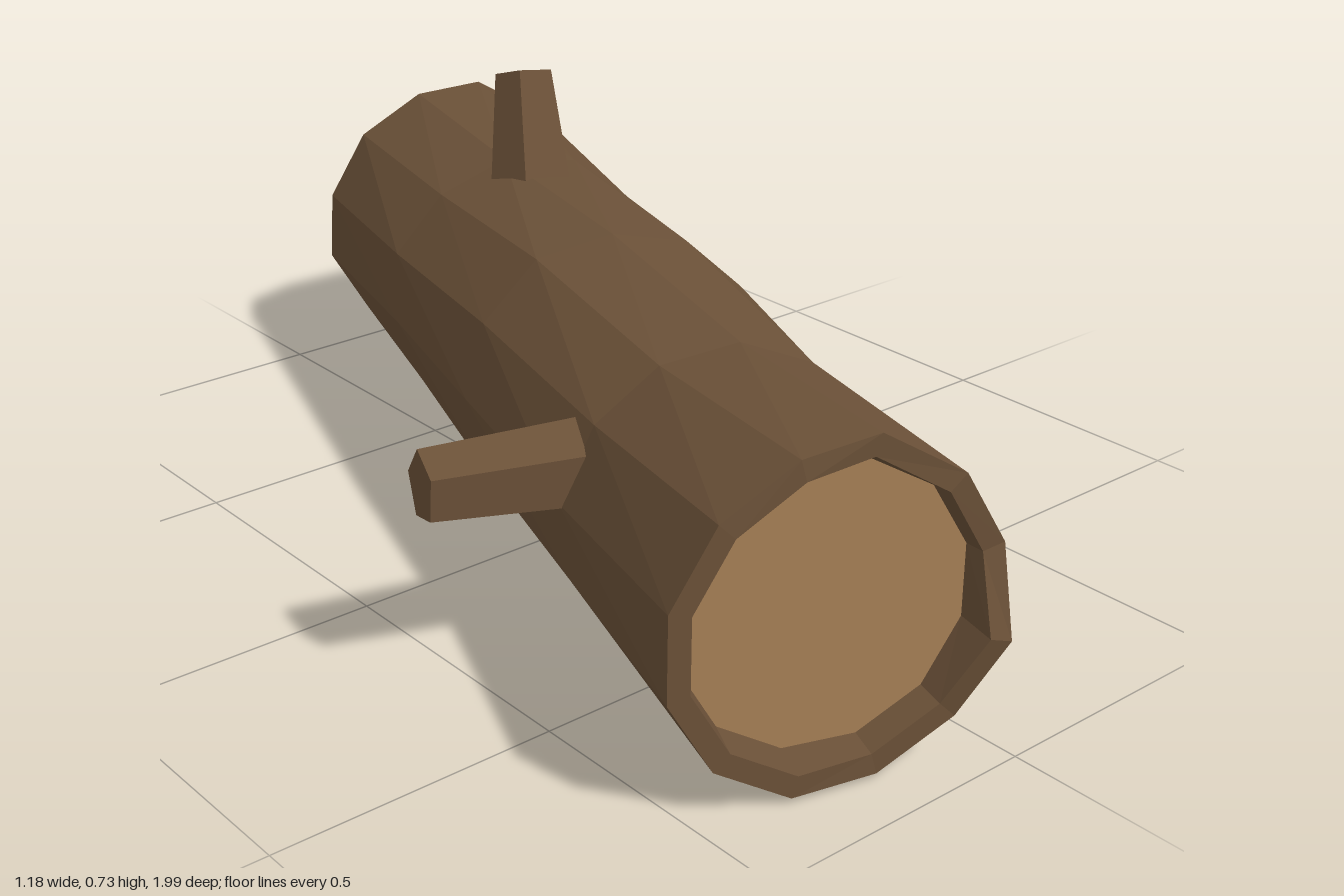
import * as THREE from 'three';

const SIDES = 12;
const U = new THREE.Vector3(0.945, 0, 0.327);  // across the log
const W = new THREE.Vector3(0.327, 0, -0.945); // along the log, towards the back
const START = new THREE.Vector3(-0.28, 0, 0.9);
const LENGTH = 1.9;

const bark = new THREE.MeshStandardMaterial({ color: 0x6b5138, flatShading: true });
const wood = new THREE.MeshStandardMaterial({ color: 0xa67f56, flatShading: true });

// Uneven cut at both ends: shift along the log for each side
const frontCut = [0.03, 0.025, 0.05, 0.01, 0, 0, 0, 0, 0, 0.015, 0.015, -0.01];
const backCut = [-0.03, 0.01, 0.035, -0.01, -0.02, -0.02, 0.01, 0, -0.01, 0, 0, -0.02];

// Rings from the front recess, over the rim, along the bark, to the back recess
const rings = [
  { d: 0.065, r: 0.235, y: 0.281, twist: 0 },
  { d: 0, r: 0.243, y: 0.281, twist: 0, cut: frontCut },
  { d: 0, r: 0.28, y: 0.281, twist: 0, cut: frontCut },
  { d: 0.46, r: 0.268, y: 0.27, twist: 0.25, rough: 0.006 },
  { d: 0.93, r: 0.277, y: 0.285, twist: 0.5, rough: 0.006 },
  { d: 1.42, r: 0.27, y: 0.275, twist: 0.75, rough: 0.008 },
  { d: LENGTH, r: 0.28, y: 0.281, twist: 1, cut: backCut },
  { d: LENGTH, r: 0.243, y: 0.281, twist: 1, cut: backCut },
  { d: LENGTH - 0.065, r: 0.235, y: 0.281, twist: 1 },
];

function seeded(seed) {
  return () => (seed = (seed * 16807) % 2147483647) / 2147483647;
}

function logPoint(d, r, y, angle) {
  return START.clone()
    .addScaledVector(W, d)
    .addScaledVector(U, r * Math.cos(angle))
    .add(new THREE.Vector3(0, y + r * Math.sin(angle), 0));
}

function logGeometry() {
  const random = seeded(77);
  const positions = [], index = [];
  rings.forEach((ring, i) => {
    for (let j = 0; j < SIDES; j++) {
      const angle = ((j + 0.5 + ring.twist) / SIDES) * Math.PI * 2;
      const cut = ring.cut ? ring.cut[(j + ring.twist) % SIDES] : 0;
      const r = ring.r + (random() * 2 - 1) * (ring.rough || 0);
      positions.push(...logPoint(ring.d + cut, r, ring.y, angle).toArray());
      if (i === rings.length - 1) continue;
      const k = (j + 1) % SIDES;
      const a = i * SIDES + j, b = i * SIDES + k;
      index.push(a, a + SIDES, b, a + SIDES, b + SIDES, b);
    }
  });
  const geometry = new THREE.BufferGeometry();
  geometry.setAttribute('position', new THREE.Float32BufferAttribute(positions, 3));
  geometry.setIndex(index);
  const flat = geometry.toNonIndexed();
  flat.computeVertexNormals();
  return flat;
}

// Flat sawn face set inside the rim
function cutFace(name, d, outward) {
  const face = new THREE.Mesh(new THREE.CircleGeometry(0.236, SIDES, Math.PI / SIDES), wood);
  face.name = name;
  face.position.copy(logPoint(d, 0, 0.281, 0));
  face.quaternion.setFromUnitVectors(new THREE.Vector3(0, 0, 1), outward.clone().normalize());
  if (outward.z < 0) {
    face.rotation.set(0, Math.atan2(outward.x, outward.z), 0);
  }
  return face;
}

// Tapered branch stub between two points
function stub(name, base, tip, baseRadius, tipRadius, turn) {
  const from = new THREE.Vector3(...base), to = new THREE.Vector3(...tip);
  const axis = to.clone().sub(from);
  const geometry = new THREE.CylinderGeometry(tipRadius, baseRadius, axis.length(), 5);
  geometry.rotateY(turn);
  const mesh = new THREE.Mesh(geometry, bark);
  mesh.name = name;
  mesh.position.copy(from).add(to).multiplyScalar(0.5);
  mesh.quaternion.setFromUnitVectors(new THREE.Vector3(0, 1, 0), axis.normalize());
  return mesh;
}

export function createModel() {
  const group = new THREE.Group();
  group.name = 'log';

  const trunk = new THREE.Mesh(logGeometry(), bark);
  trunk.name = 'trunk';
  group.add(trunk);

  group.add(cutFace('frontCutFace', 0.065, W.clone().negate()));
  group.add(cutFace('backCutFace', LENGTH - 0.065, W));

  group.add(stub('topBranch', [0.14, 0.43, -0.345], [0.19, 0.715, -0.44], 0.09, 0.056, 0.45));
  group.add(stub('sideBranch', [-0.25, 0.345, 0.377], [-0.573, 0.355, 0.28], 0.078, 0.06, 0.3));

  return group;
}
